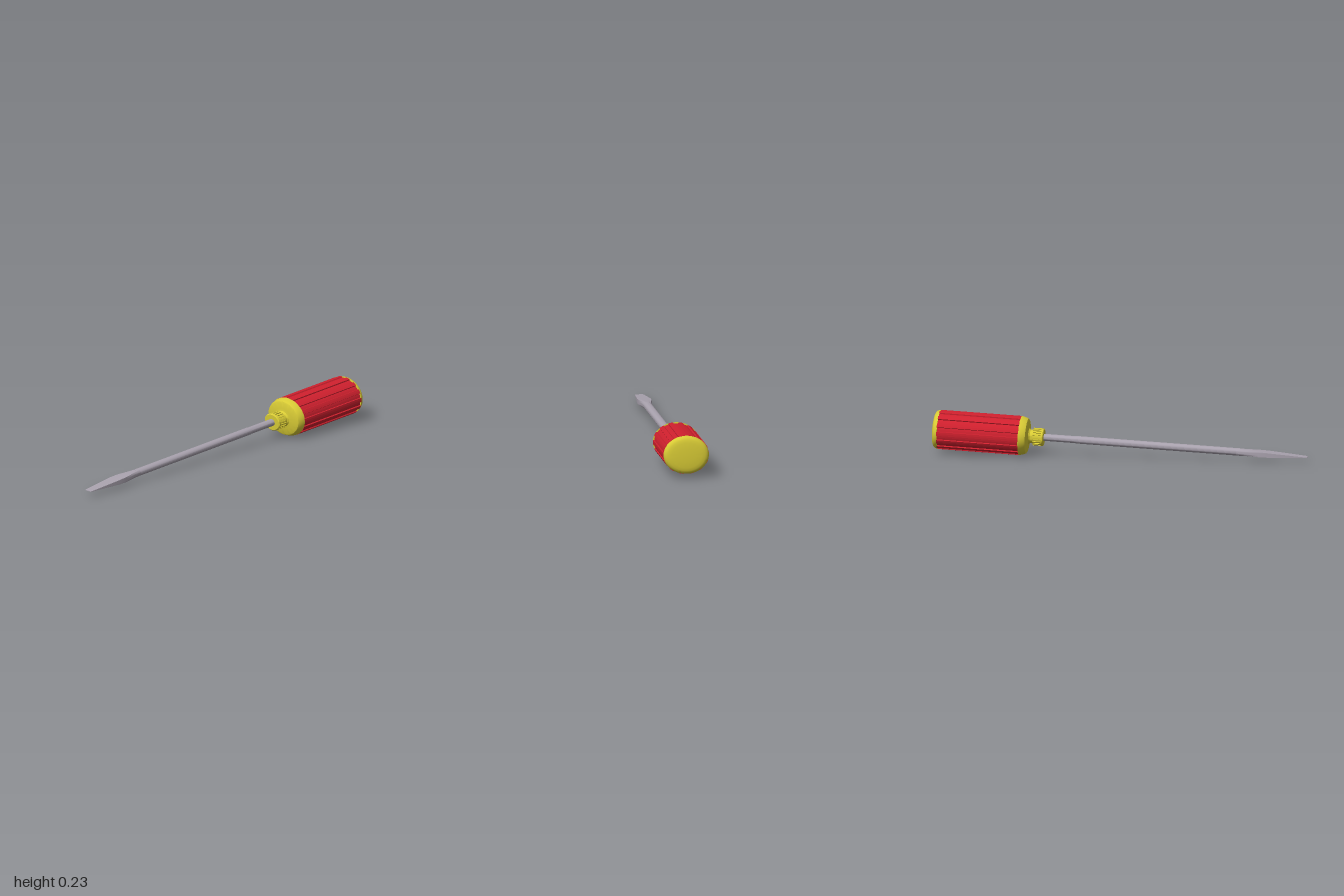
import * as THREE from 'three';
import { toCreasedNormals } from 'three/addons/utils/BufferGeometryUtils.js';

const material = (name, color) => {
  const m = new THREE.MeshStandardMaterial({ color });
  m.name = name;
  return m;
};

// Solid of revolution along +x from [x, radius] pairs
function turned(profile, segments = 56) {
  const points = profile.map(([x, r]) => new THREE.Vector2(r, x));
  const geo = new THREE.LatheGeometry(points, segments).rotateZ(-Math.PI / 2);
  return toCreasedNormals(geo, 0.5);
}

// Fluted bar along +x: ridges at radius outer, grooves at radius inner
function fluted(x0, x1, outer, inner, count, grooveShare) {
  const shape = new THREE.Shape();
  const pitch = (Math.PI * 2) / count;
  const half = (pitch * grooveShare) / 2;
  for (let i = 0; i < count; i++) {
    const a = -Math.PI / 2 + i * pitch;
    const ridgeMid = a + pitch / 2;
    const corners = [
      [a - half, outer], [a - half * 0.85, inner], [a, inner], [a + half * 0.85, inner],
      [a + half, outer], [ridgeMid, outer],
    ];
    corners.forEach(([t, r], k) => {
      const x = Math.cos(t) * r, y = Math.sin(t) * r;
      if (i === 0 && k === 0) shape.moveTo(x, y);
      else shape.lineTo(x, y);
    });
  }
  shape.closePath();
  const geo = new THREE.ExtrudeGeometry(shape, { depth: x1 - x0, bevelEnabled: false });
  return geo.rotateY(Math.PI / 2).translate(x0, 0, 0);
}

// Loft along +x; each section is [x, half height, half width, squareness 0..1]
function loft(sections, sides = 24) {
  const pos = [], index = [];
  for (const [x, h, w, sq] of sections) {
    for (let i = 0; i < sides; i++) {
      const a = ((i + 0.0) / sides) * Math.PI * 2;
      const c = Math.cos(a), s = Math.sin(a);
      const k = 1 + sq * (1 / Math.max(Math.abs(c), Math.abs(s)) - 1);
      pos.push(x, c * k * h, s * k * w);
    }
  }
  const n = sections.length;
  for (let j = 0; j < n - 1; j++) {
    for (let i = 0; i < sides; i++) {
      const a = j * sides + i, b = j * sides + ((i + 1) % sides);
      index.push(a, b, a + sides, b, b + sides, a + sides);
    }
  }
  // End caps
  for (let i = 1; i < sides - 1; i++) {
    const e = (n - 1) * sides;
    index.push(0, i + 1, i, e, e + i, e + i + 1);
  }
  const geo = new THREE.BufferGeometry();
  geo.setAttribute('position', new THREE.Float32BufferAttribute(pos, 3));
  geo.setIndex(index);
  return toCreasedNormals(geo, 0.5);
}

export function createModel() {
  const red = material('red grip', 0xd0202e);
  const yellow = material('yellow plastic', 0xd8cb35);
  const steel = material('steel', 0xa9a2ae);

  const model = new THREE.Group();
  model.name = 'screwdriver';
  // The tool rests on its handle, tilted slightly, with an oval cross-section
  const tilt = new THREE.Group();
  tilt.name = 'tiltedTool';
  tilt.rotation.z = 0.048;
  tilt.position.y = 0.0797;
  model.add(tilt);
  const tool = new THREE.Group();
  tool.name = 'ovalTool';
  tool.scale.y = 0.84;
  tilt.add(tool);

  const add = (name, geo, mat) => {
    const mesh = new THREE.Mesh(geo, mat);
    mesh.name = name;
    tool.add(mesh);
  };

  // Shaft and flat blade
  add('shaft', turned([[-0.64, 0], [-0.64, 0.0235], [0.23, 0.0235], [0.24, 0.022], [0.43, 0.022]], 24), steel);
  add('blade', loft([
    [-1.0, 0.0015, 0.02, 1],
    [-0.985, 0.0025, 0.024, 1],
    [-0.79, 0.0145, 0.036, 1],
    [-0.74, 0.0175, 0.036, 0.8],
    [-0.67, 0.0215, 0.027, 0.3],
    [-0.62, 0.0235, 0.0235, 0],
  ]), steel);

  // Fluted collar with a thin lip at its front
  add('collarLip', turned([[0.408, 0], [0.408, 0.05], [0.412, 0.055], [0.42, 0.055], [0.42, 0]], 40), yellow);
  add('collar', fluted(0.418, 0.464, 0.055, 0.049, 20, 0.5), yellow);

  // Neck flaring into the handle's front flange
  add('frontFlange', turned([
    [0.455, 0], [0.455, 0.048], [0.468, 0.043], [0.48, 0.043], [0.488, 0.05], [0.491, 0.065],
    [0.493, 0.1], [0.497, 0.109], [0.505, 0.114], [0.53, 0.122], [0.534, 0.122], [0.534, 0],
  ]), yellow);

  // Red fluted grip
  add('grip', fluted(0.533, 0.968, 0.1225, 0.1155, 14, 0.55), red);

  // Domed end cap
  add('endCap', turned([
    [0.966, 0], [0.966, 0.121], [0.975, 0.12], [0.983, 0.116], [0.989, 0.109],
    [0.993, 0.098], [0.996, 0.08], [0.998, 0.045], [0.999, 0],
  ]), yellow);

  return model;
}
